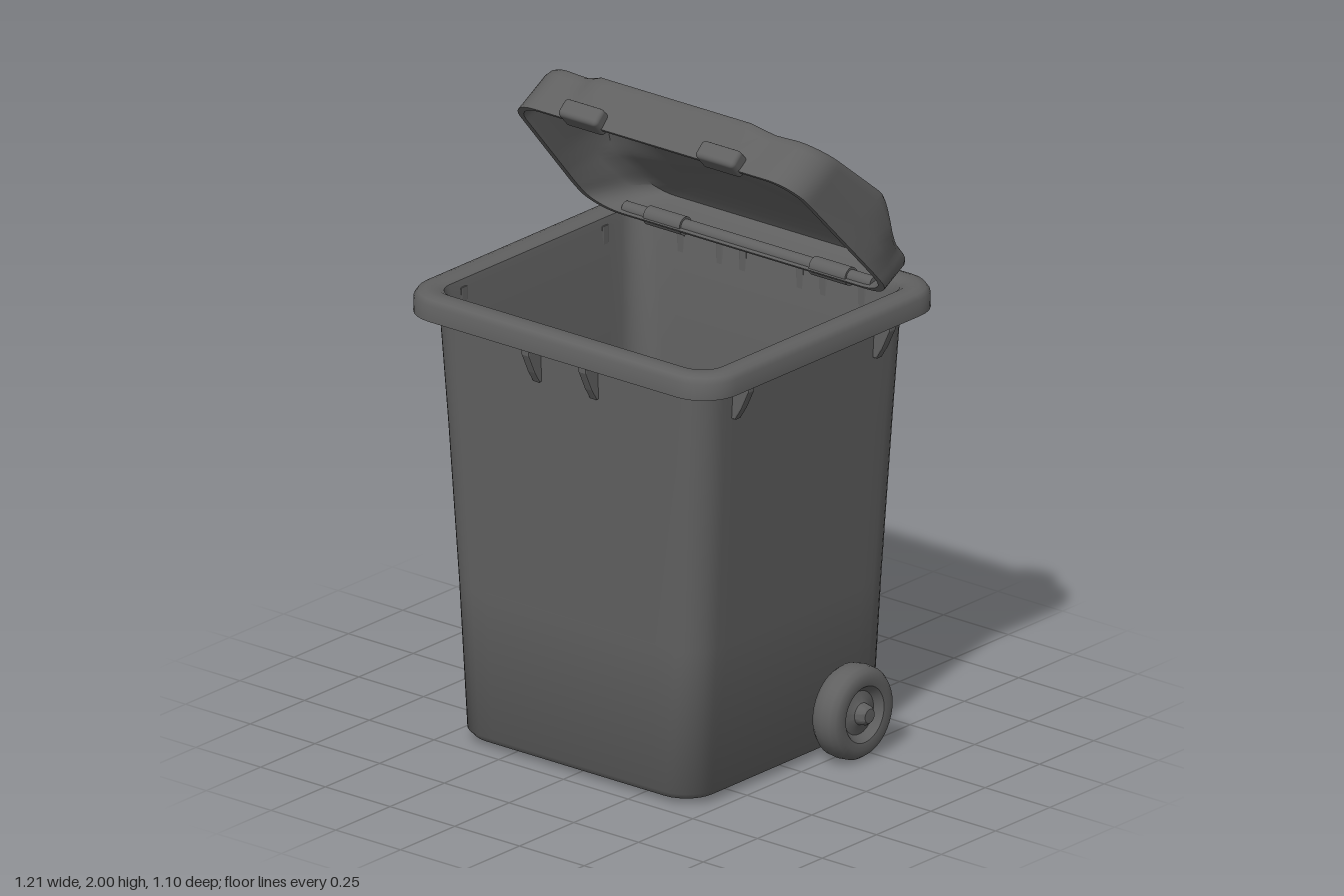
import * as THREE from 'three';
import { toCreasedNormals } from 'three/addons/utils/BufferGeometryUtils.js';
import { RoundedBoxGeometry } from 'three/addons/geometries/RoundedBoxGeometry.js';

const smooth = THREE.MathUtils.smoothstep;
const clamp = THREE.MathUtils.clamp;

// Rounded rectangle outline in (x, z), with extra points along the straight sides
function roundedRect(hx, hz, r, arc = 7, side = 14) {
  const corners = [[1, 1], [-1, 1], [-1, -1], [1, -1]].map(([sx, sz], c) => {
    const pts = [];
    for (let i = 0; i <= arc; i++) {
      const a = (c + i / arc) * Math.PI / 2;
      pts.push([sx * (hx - r) + r * Math.cos(a), sz * (hz - r) + r * Math.sin(a)]);
    }
    return pts;
  });
  const out = [];
  corners.forEach((pts, c) => {
    out.push(...pts);
    const a = pts[arc], b = corners[(c + 1) % 4][0];
    for (let i = 1; i < side; i++) {
      const t = i / side;
      out.push([a[0] + (b[0] - a[0]) * t, a[1] + (b[1] - a[1]) * t]);
    }
  });
  return out;
}

// Skin through rings of equal point count
function loft(rings, closed, crease) {
  const n = rings[0].length, m = rings.length, index = [];
  for (let i = 0; i < (closed ? m : m - 1); i++) {
    for (let j = 0; j < n; j++) {
      const k = (j + 1) % n, u = (i + 1) % m;
      const a = i * n + j, b = u * n + j, c = i * n + k, d = u * n + k;
      index.push(a, b, c, b, d, c);
    }
  }
  const geo = new THREE.BufferGeometry();
  geo.setAttribute('position', new THREE.Float32BufferAttribute(rings.flat(2), 3));
  geo.setIndex(index);
  return toCreasedNormals(geo, crease);
}

export function createModel() {
  const root = new THREE.Group();
  const grey = new THREE.MeshStandardMaterial({ color: 0x606060 });
  grey.name = 'dark grey plastic';
  const add = (name, geo, parent = root) => {
    const mesh = new THREE.Mesh(geo, grey);
    mesh.name = name;
    parent.add(mesh);
    return mesh;
  };

  // Tapered body with hollow rim: [y, half width, front z, back z, corner radius]
  const bodyProfile = [
    [0.02, 0.445, 0.445, -0.43, 0.1],
    [0.04, 0.458, 0.46, -0.442, 0.1],
    [0.5, 0.483, 0.468, -0.452, 0.1],
    [1.0, 0.515, 0.48, -0.465, 0.1],
    [1.39, 0.537, 0.492, -0.475, 0.09],
    [1.395, 0.588, 0.535, -0.535, 0.11],
    [1.35, 0.595, 0.54, -0.54, 0.115],
    [1.35, 0.605, 0.55, -0.55, 0.125],
    [1.4, 0.604, 0.549, -0.549, 0.125],
    [1.416, 0.594, 0.54, -0.54, 0.12],
    [1.422, 0.575, 0.522, -0.522, 0.11],
    [1.422, 0.54, 0.488, -0.488, 0.08],
    [1.412, 0.524, 0.47, -0.468, 0.07],
    [1.38, 0.518, 0.465, -0.458, 0.07],
    [0.8, 0.482, 0.448, -0.435, 0.09],
    [0.02, 0.432, 0.428, -0.41, 0.12],
  ];
  add('body', loft(bodyProfile.map(([y, hx, zf, zb, r]) =>
    roundedRect(hx, (zf - zb) / 2, r).map(([x, z]) => [x, y, z + (zf + zb) / 2])), true, 0.8));

  // Gussets under the rim
  const ribShape = new THREE.Shape([
    [0, 1.24], [0.018, 1.24], [0.04, 1.275], [0.068, 1.335], [0.068, 1.385], [0, 1.385],
  ].map(p => new THREE.Vector2(...p)));
  const ribGeo = new THREE.ExtrudeGeometry(ribShape, {
    depth: 0.02, bevelEnabled: true, bevelThickness: 0.005, bevelSize: 0.005, bevelSegments: 2,
  });
  ribGeo.translate(0, 0, -0.01);
  const addRib = (x, z, turn) => {
    const rib = add('rimRib', ribGeo);
    rib.position.set(x, 0, z);
    rib.rotation.y = turn;
  };
  for (const s of [-1, 1]) {
    addRib(s * 0.11, 0.473, -Math.PI / 2);
    for (const x of [0.11, 0.2, 0.35]) addRib(s * x, -0.46, Math.PI / 2);
    for (const z of [0.34, -0.31]) addRib(s * 0.52, z, s > 0 ? 0 : Math.PI);
  }

  // Open lid: hollow tray in its own frame (z runs from hinge to front edge)
  const lid = new THREE.Group();
  lid.name = 'lid';
  lid.position.set(0, 1.43, -0.33);
  lid.rotation.x = -0.829;
  root.add(lid);
  const unit = roundedRect(0.55, 0.34, 0.1, 7, 24).map(([x, z]) => [x / 0.55, z / 0.34]);
  const lidRing = ([t, k]) => unit.map(([u, v]) => {
    const s0 = -0.125 * t, s1 = 0.635 - 0.03 * t;
    let s = (s0 + s1) / 2 + v * k * (s1 - s0) / 2;
    const w = 0.585 - 0.025 * t - 0.05 * t * (1 - smooth(s, 0, 0.16)) - 0.035 * clamp((s - 0.15) / 0.48, 0, 1) * (1 - 0.6 * t);
    const x = u * k * w, ax = Math.abs(x);
    // raised shoulders along both sides, raised grip at the front
    const top = 0.16 - 0.02 * (1 - smooth(s, -0.13, -0.07))
      + 0.055 * smooth(ax, 0.36, 0.47) * smooth(s, 0.11, 0.25) * clamp((0.62 - s) / 0.37, 0, 1);
    s += 0.038 * t * (1 - smooth(ax, 0.29, 0.36)) * smooth(s, 0.5, 0.6);
    return [x, t * top, s];
  });
  add('lidShell', loft([
    [0.88, 0], [0.88, 0.5], [0.87, 0.8], [0.83, 0.91], [0.6, 0.95], [0, 0.965],
    [0, 1], [0.4, 1], [0.82, 1], [0.94, 0.99], [0.99, 0.97], [1, 0.94],
    [1, 0.86], [1, 0.79], [1, 0.72], [1, 0.64], [1, 0.4], [1, 0],
  ].map(lidRing), false, 0.9), lid);

  for (const s of [-1, 1]) {
    const tab = add('lidGripTab', new RoundedBoxGeometry(0.15, 0.06, 0.075, 3, 0.015), lid);
    tab.position.set(s * 0.265, 0.022, 0.637);
  }

  // Hinge rod with thicker sleeves
  const rod = (name, r, len, x) => {
    const m = add(name, new THREE.CylinderGeometry(r, r, len, 20));
    m.rotation.z = Math.PI / 2;
    m.position.set(x, 1.44, -0.36);
  };
  rod('hingeRod', 0.022, 0.96, 0);
  for (const s of [-1, 1]) rod('hingeSleeve', 0.029, 0.14, s * 0.32);

  // Wheels: turned profile of [radius, distance along the axle]
  const wheelGeo = toCreasedNormals(new THREE.LatheGeometry([
    [0, -0.03], [0.07, -0.03], [0.085, -0.047], [0.11, -0.052], [0.132, -0.044], [0.143, -0.028],
    [0.146, 0], [0.143, 0.028], [0.132, 0.044], [0.11, 0.052], [0.088, 0.048], [0.076, 0.032],
    [0.068, 0.024], [0.045, 0.03], [0.034, 0.036], [0.03, 0.058], [0.022, 0.067], [0, 0.068],
  ].map(p => new THREE.Vector2(...p)), 40), 0.7);
  for (const s of [-1, 1]) {
    const wheel = new THREE.Group();
    wheel.name = s > 0 ? 'leftWheel' : 'rightWheel';
    wheel.position.set(s * 0.538, 0.148, -0.19);
    wheel.rotation.z = -s * Math.PI / 2;
    root.add(wheel);
    add('tyreAndHub', wheelGeo, wheel);
    const axle = add('axleStub', new THREE.CylinderGeometry(0.018, 0.018, 0.09, 16), wheel);
    axle.position.y = -0.055;
  }
  return root;
}
